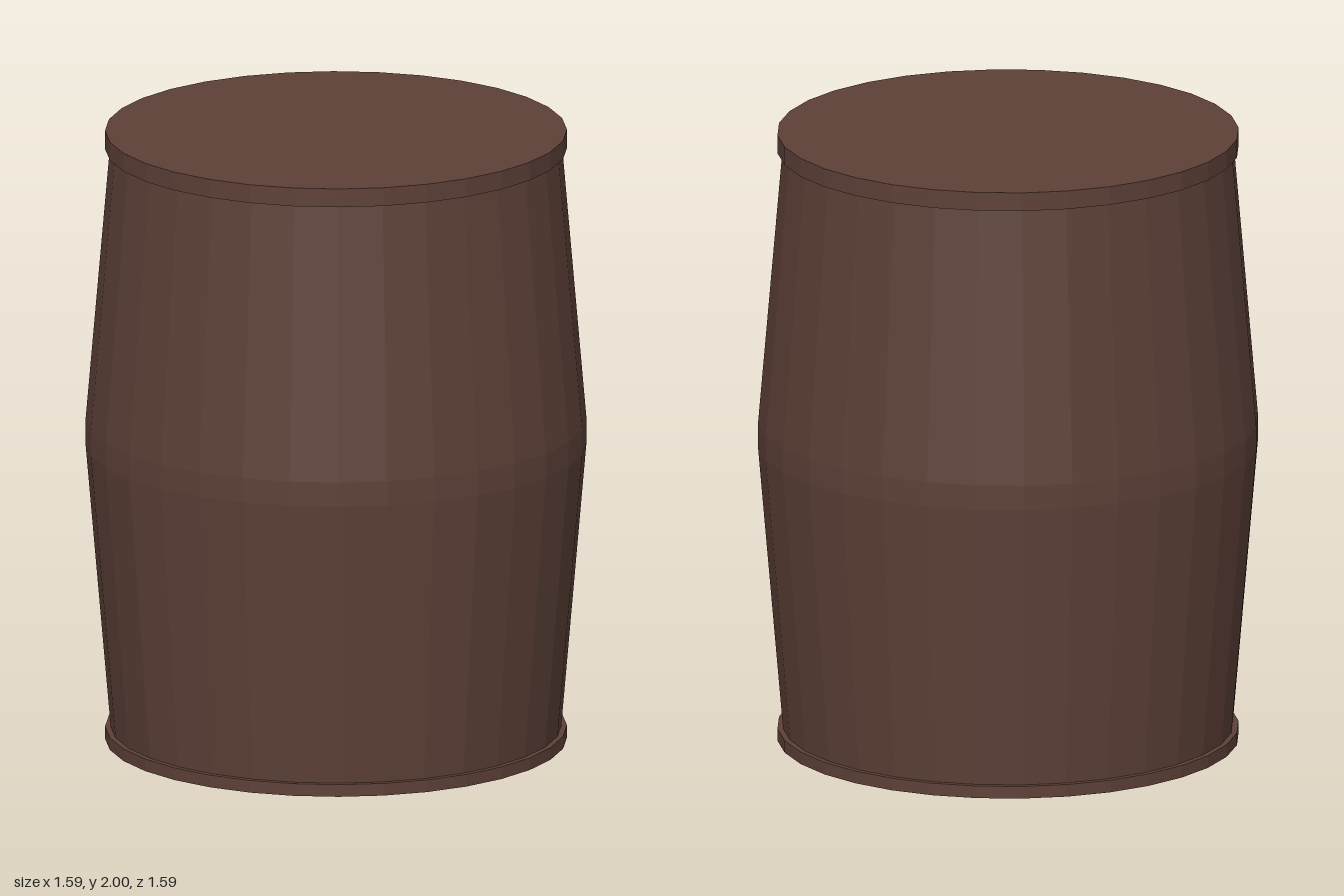
import * as THREE from 'three';

const SIDES = 32;

export function createModel() {
  const barrel = new THREE.Group();
  barrel.name = 'barrel';
  const wood = new THREE.MeshStandardMaterial({ color: 0x5d4037, flatShading: true });

  const add = (name, geometry, y = 0) => {
    const mesh = new THREE.Mesh(geometry, wood);
    mesh.name = name;
    mesh.position.y = y;
    barrel.add(mesh);
  };

  // Bulging staves with a narrow straight belt at mid height
  const profile = [[0.717, 0.02], [0.717, 0.04], [0.797, 0.97], [0.797, 1.05], [0.72, 1.94], [0.72, 1.97]];
  add('staves', new THREE.LatheGeometry(profile.map(([r, y]) => new THREE.Vector2(r, y)), SIDES));

  // Closed end discs that stand slightly proud of the staves
  const disc = (name, bottom, top) =>
    add(name, new THREE.CylinderGeometry(0.735, 0.735, top - bottom, SIDES), (bottom + top) / 2);
  disc('bottomRim', 0, 0.04);
  disc('lid', 1.94, 2);

  return barrel;
}
